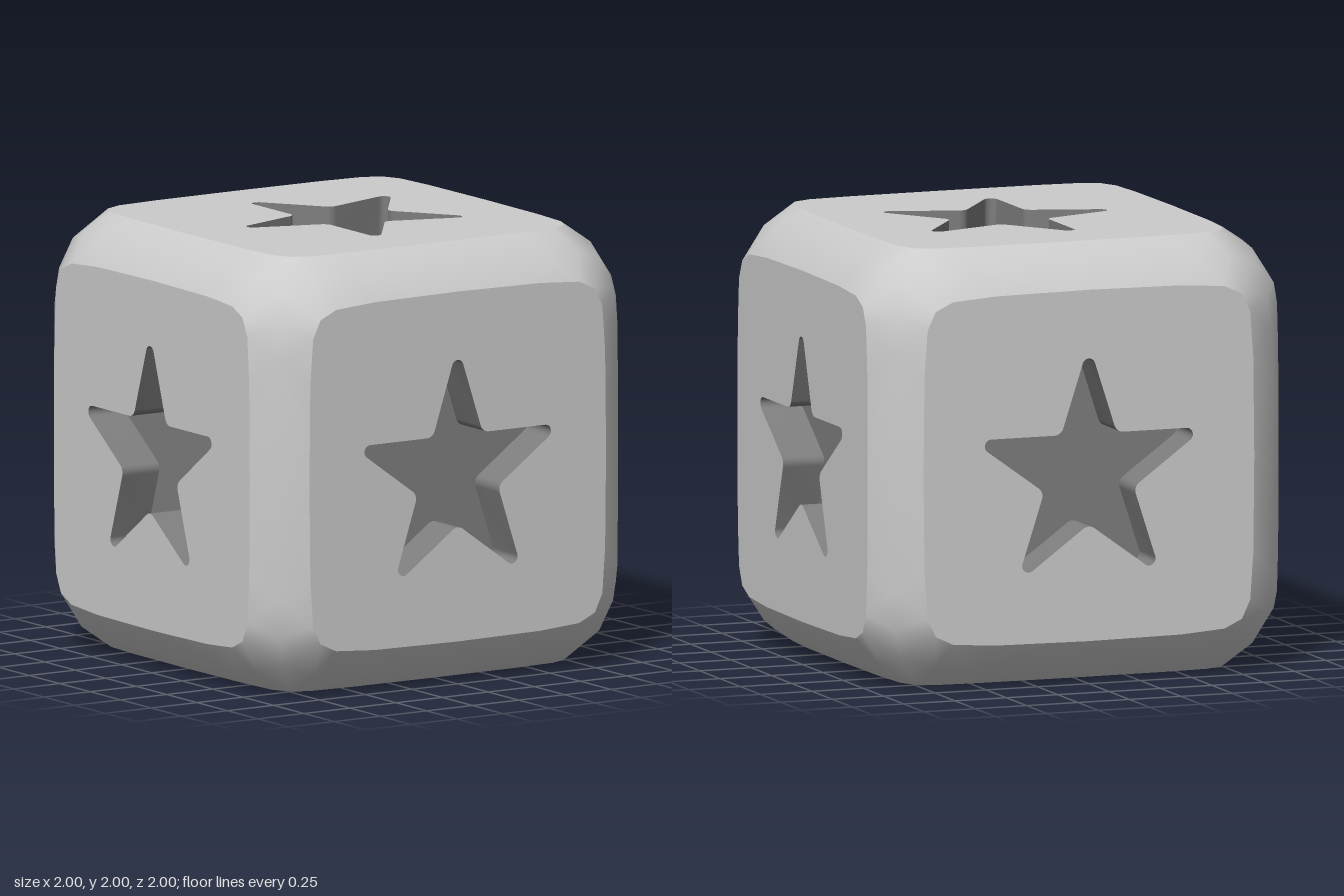
import * as THREE from 'three';
import { ConvexGeometry } from 'three/addons/geometries/ConvexGeometry.js';
import { mergeGeometries, toCreasedNormals } from 'three/addons/utils/BufferGeometryUtils.js';

const V2 = THREE.Vector2, V3 = THREE.Vector3, PI = Math.PI;
const DEPTH = 0.2;

// Rounded-square outline of a flat face, counter-clockwise
function faceOutline() {
  const quarter = [[0.805, 0], [0.8, 0.45], [0.785, 0.66], [0.745, 0.745], [0.66, 0.785], [0.45, 0.8]];
  const pts = [];
  for (let k = 0; k < 4; k++) {
    const c = Math.round(Math.cos(k * PI / 2)), s = Math.round(Math.sin(k * PI / 2));
    for (const [x, y] of quarter) pts.push(new V2(x * c - y * s, x * s + y * c));
  }
  return pts;
}

// Five-pointed star with rounded tips and notches, counter-clockwise
function starOutline(cx, cy, turn) {
  const R = 0.6, inner = R * 0.382, tipR = 0.031, notchR = 0.045, pts = [];
  const arc = (dir, dist, r, from, to, n) => {
    for (let i = 0; i <= n; i++) {
      const a = from + (to - from) * i / n;
      pts.push(new V2(cx + dist * Math.cos(dir) + r * Math.cos(a), cy + dist * Math.sin(dir) + r * Math.sin(a)));
    }
  };
  for (let k = 0; k < 5; k++) {
    const a = turn + k * 2 * PI / 5, b = a + PI / 5;
    arc(a, R - tipR / Math.sin(PI / 10), tipR, a - 0.4 * PI, a + 0.4 * PI, 8);
    arc(b, inner + notchR / Math.sin(0.3 * PI), notchR, b + 1.2 * PI, b + 0.8 * PI, 5);
  }
  return pts;
}

// Side walls and floor of a star recess
function recessGeometry(star) {
  const pos = [];
  star.forEach((p, i) => {
    const q = star[(i + 1) % star.length], t = 1, b = 1 - DEPTH;
    pos.push(p.x, p.y, t, q.x, q.y, b, p.x, p.y, b, p.x, p.y, t, q.x, q.y, t, q.x, q.y, b);
  });
  const walls = new THREE.BufferGeometry();
  walls.setAttribute('position', new THREE.Float32BufferAttribute(pos, 3));
  const floor = new THREE.ShapeGeometry(new THREE.Shape(star)).toNonIndexed();
  floor.translate(0, 0, 1 - DEPTH);
  floor.deleteAttribute('uv');
  floor.deleteAttribute('normal');
  return toCreasedNormals(mergeGeometries([walls, floor]), PI / 6);
}

// Softened edges and corners: hull of the six faces without its flat sides
function bevelGeometry(outline) {
  const pts = [];
  for (const s of [-1, 1]) {
    for (const p of outline) {
      pts.push(new V3(p.x, p.y, s), new V3(s, p.x, p.y), new V3(p.y, s, p.x));
    }
    for (const u of [-1, 1]) for (const w of [-1, 1]) {
      pts.push(new V3(s * 0.86, u * 0.86, w * 0.86));
      for (const [e, l] of [[0.92, 0.55], [0.905, 0.72]]) {
        pts.push(new V3(s * e, u * e, w * l), new V3(w * l, s * e, u * e), new V3(u * e, w * l, s * e));
      }
    }
  }
  const hull = new ConvexGeometry(pts), P = hull.attributes.position, N = hull.attributes.normal, pos = [];
  for (let i = 0; i < P.count; i += 3) {
    if (Math.max(Math.abs(N.getX(i)), Math.abs(N.getY(i)), Math.abs(N.getZ(i))) > 0.9999) continue;
    for (let j = i; j < i + 3; j++) pos.push(P.getX(j), P.getY(j), P.getZ(j));
  }
  const g = new THREE.BufferGeometry();
  g.setAttribute('position', new THREE.Float32BufferAttribute(pos, 3));
  return toCreasedNormals(g, PI / 3);
}

export function createModel() {
  const model = new THREE.Group();
  model.name = 'starCube';
  const cube = new THREE.Group();
  cube.name = 'cube';
  cube.position.y = 1;
  model.add(cube);

  const shell = new THREE.MeshStandardMaterial({ color: 0xcccccc });
  const dark = new THREE.MeshStandardMaterial({ color: 0x7e7e7e });
  const add = (parent, name, geometry, material) => {
    const m = new THREE.Mesh(geometry, material);
    m.name = name;
    parent.add(m);
  };

  const outline = faceOutline();
  add(cube, 'roundedEdges', bevelGeometry(outline), shell);

  // Faces: name, rotation about x and y, star centre, star direction
  const faces = [
    ['front', 0, 0, 0, -0.04, PI / 2],
    ['left', 0, PI / 2, -0.015, -0.03, PI / 2],
    ['back', 0, PI, 0, -0.04, PI / 2],
    ['right', 0, -PI / 2, -0.015, -0.03, PI / 2],
    ['top', -PI / 2, 0, 0.05, 0, PI],
    ['bottom', PI / 2, 0, 0.05, 0, PI],
  ];
  for (const [name, rx, ry, cx, cy, turn] of faces) {
    const side = new THREE.Group();
    side.name = name + 'Side';
    side.rotation.set(rx, ry, 0);
    cube.add(side);
    const star = starOutline(cx, cy, turn);
    const plate = new THREE.Shape(outline);
    plate.holes.push(new THREE.Path(star));
    add(side, name + 'Face', new THREE.ShapeGeometry(plate).translate(0, 0, 1), shell);
    add(side, name + 'StarRecess', recessGeometry(star), dark);
  }
  return model;
}
